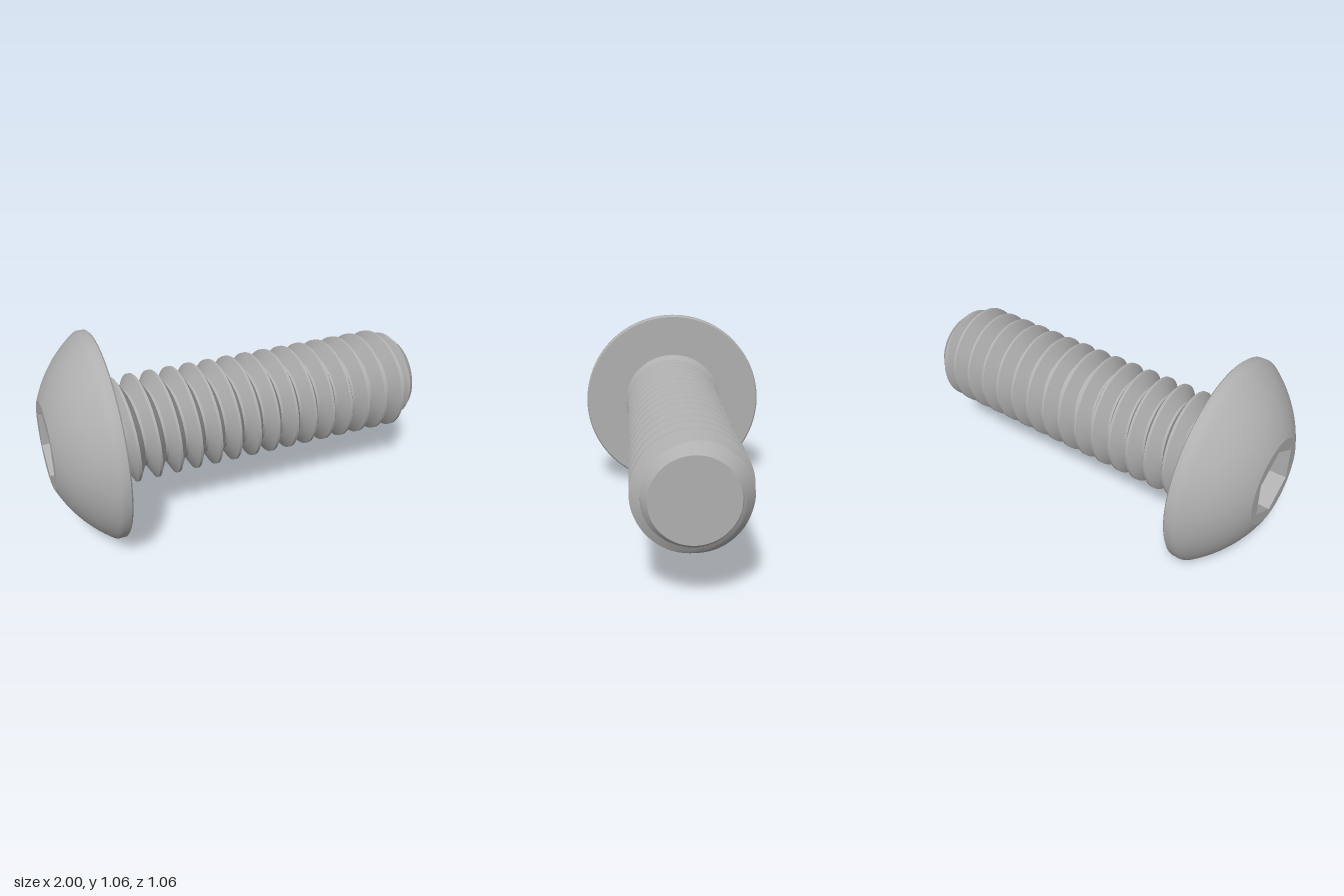
import * as THREE from 'three';
import { toCreasedNormals } from 'three/addons/utils/BufferGeometryUtils.js';

const HEAD_BACK = 0.71, HEAD_R = 0.53, FACE_R = 0.225;   // head, distances towards -x
const HEX_R = 0.183, HEX_DEPTH = 0.176;
const ROOT = 0.205, CREST = 0.276, PITCH = 0.1066, FIRST = -0.63;
const SEG = 96;

// Right-hand thread running along +x, with a cone under the head and a chamfered tip
function threadGeometry() {
  const flat = 0.0065, edge = PITCH / 2 - 0.0065, STEPS = 6;
  const stations = [];                                   // [offset, radius] over one pitch
  for (let i = 0; i <= STEPS; i++) {
    const t = i / STEPS;
    stations.push([-edge + (edge - flat) * t, ROOT + (CREST - ROOT) * t]);
  }
  for (let i = 0; i <= STEPS; i++) {
    const t = i / STEPS;
    stations.push([flat + (edge - flat) * t, CREST + (ROOT - CREST) * t]);
  }
  const point = (row, col) => {
    const [off, r0] = stations[row % stations.length];
    const turn = Math.floor(row / stations.length) - 3;
    const a = (col / SEG) * Math.PI * 2;
    const x = THREE.MathUtils.clamp(FIRST + PITCH * (turn + col / SEG) + off, -HEAD_BACK, 1);
    let r = Math.min(r0, 0.22 + Math.max(0, x + 0.69));  // thread run-in
    r = Math.max(r, 0.29 - (x + HEAD_BACK) * 1.15);      // cone under the head
    r = Math.min(r, 0.2 + (1 - x) * 0.9);                // tip chamfer
    return [x, r * Math.cos(a), r * Math.sin(a)];
  };
  const pos = [];
  const tri = (a, b, c) => {
    if (a[0] === b[0] && b[0] === c[0]) return;          // skip rows clamped at the ends
    pos.push(...a, ...b, ...c);
  };
  const rows = stations.length * 20;
  for (let i = 0; i < rows - 1; i++) {
    for (let j = 0; j < SEG; j++) {
      const a = point(i, j), b = point(i + 1, j), c = point(i + 1, j + 1), d = point(i, j + 1);
      tri(a, c, b);
      tri(a, d, c);
    }
  }
  const g = new THREE.BufferGeometry();
  g.setAttribute('position', new THREE.Float32BufferAttribute(pos, 3));
  return toCreasedNormals(g, 0.5);
}

// Domed head profile, from the flat underside round the rim to the socket face
function headGeometry() {
  const dome = new THREE.QuadraticBezierCurve(
    new THREE.Vector2(0.525, 0.765), new THREE.Vector2(0.408, 0.925), new THREE.Vector2(FACE_R, 1));
  const profile = [
    new THREE.Vector2(0, HEAD_BACK), new THREE.Vector2(0.522, HEAD_BACK),
    new THREE.Vector2(HEAD_R, 0.718), new THREE.Vector2(HEAD_R, 0.752),
    ...dome.getPoints(16),
  ];
  return toCreasedNormals(new THREE.LatheGeometry(profile, SEG).rotateZ(Math.PI / 2), 0.6);
}

// Flat ring around the hexagonal opening, facing -x
function faceGeometry() {
  const shape = new THREE.Shape().absarc(0, 0, FACE_R, 0, Math.PI * 2);
  const hex = [];
  for (let i = 0; i < 6; i++) {
    const a = Math.PI / 6 - (i * Math.PI) / 3;
    hex.push(new THREE.Vector2(HEX_R * Math.cos(a), HEX_R * Math.sin(a)));
  }
  shape.holes.push(new THREE.Path(hex));
  return new THREE.ShapeGeometry(shape, SEG / 2).rotateY(-Math.PI / 2).translate(-1, 0, 0);
}

export function createModel() {
  const steel = new THREE.MeshStandardMaterial({ color: 0xb0b0b0, side: THREE.DoubleSide });
  steel.name = 'steel grey';
  const screw = new THREE.Group();
  screw.name = 'buttonHeadScrew';
  const add = (name, geometry) => {
    const mesh = new THREE.Mesh(geometry, steel);
    mesh.name = name;
    screw.add(mesh);
  };

  add('head', headGeometry());
  add('headFace', faceGeometry());

  // Hex socket
  const walls = new THREE.CylinderGeometry(HEX_R, HEX_R, HEX_DEPTH, 6, 1, true, Math.PI / 6)
    .rotateZ(Math.PI / 2).translate(-1 + HEX_DEPTH / 2, 0, 0);
  add('socketWalls', toCreasedNormals(walls, 0.5));
  add('socketFloor', new THREE.CircleGeometry(HEX_R, 6)
    .rotateZ(Math.PI / 6).rotateY(-Math.PI / 2).translate(-1 + HEX_DEPTH, 0, 0));

  // Shank
  add('thread', threadGeometry());
  add('tip', new THREE.CircleGeometry(0.2, SEG).rotateY(Math.PI / 2).translate(1, 0, 0));

  screw.position.y = HEAD_R;
  const model = new THREE.Group();
  model.name = 'screw';
  model.add(screw);
  return model;
}
